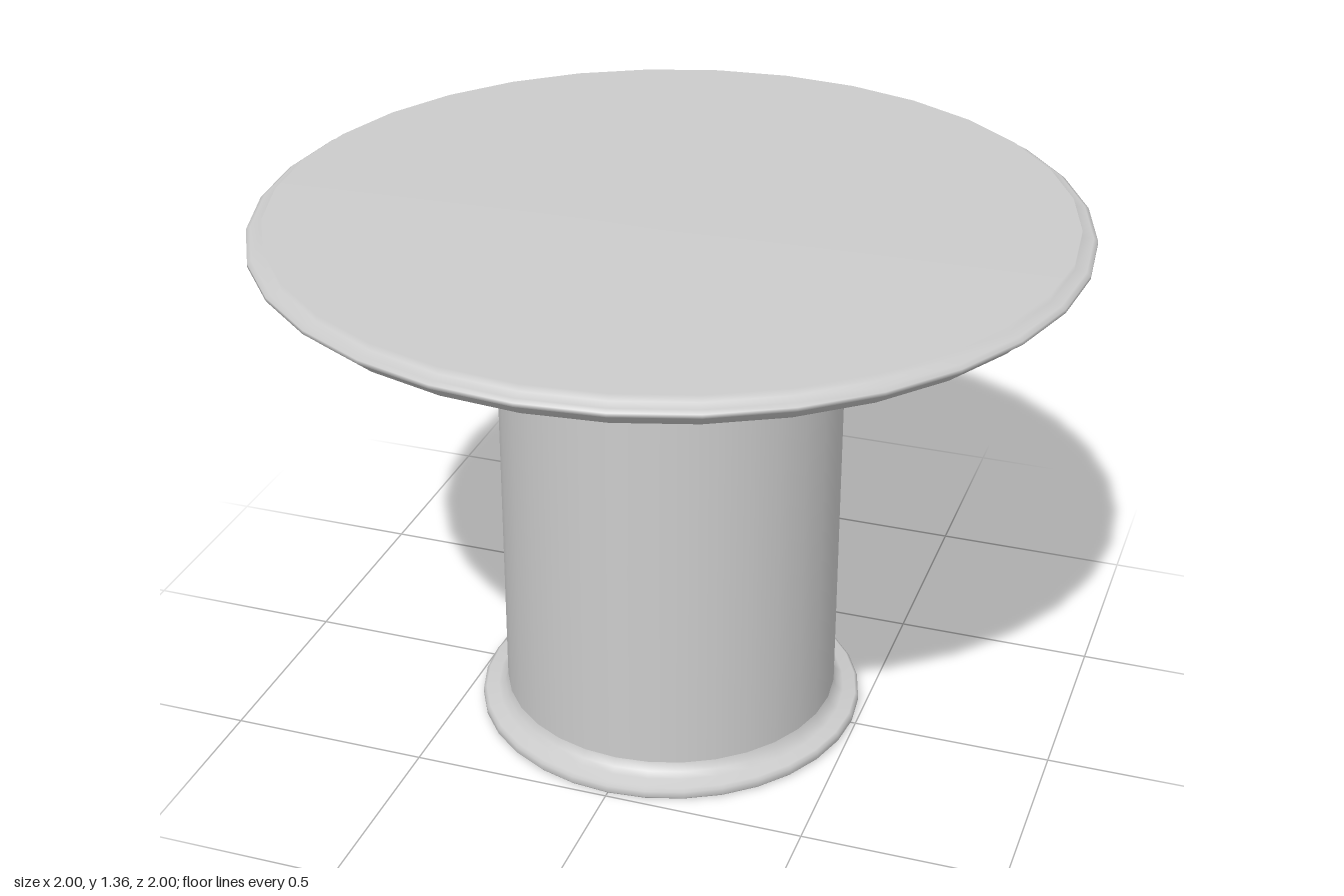
import * as THREE from 'three';

const SIDES = 32;
const material = new THREE.MeshStandardMaterial({ color: 0xcccccc });

// Turns a profile of [radius, height] points, listed bottom to top, around y.
function turned(name, profile) {
  const points = profile.map(([r, y]) => new THREE.Vector2(r, y));
  const mesh = new THREE.Mesh(new THREE.LatheGeometry(points, SIDES), material);
  mesh.name = name;
  return mesh;
}

export function createModel() {
  const group = new THREE.Group();
  group.name = 'pedestalTable';

  // Flat underside of the foot
  const underside = new THREE.Mesh(new THREE.CircleGeometry(0.485, SIDES), material);
  underside.rotation.x = Math.PI / 2;
  underside.position.y = 0.005;
  underside.name = 'footUnderside';
  group.add(underside);

  // Foot flange with rounded lip, blending into the column
  group.add(turned('foot', [
    [0.485, 0], [0.49, 0.006], [0.49, 0.022], [0.482, 0.028],
    [0.45, 0.033], [0.433, 0.043], [0.425, 0.065],
  ]));

  // Straight column
  group.add(turned('column', [[0.425, 0.065], [0.425, 1.04]]));

  // Flared collar under the top
  group.add(turned('collar', [
    [0.425, 1.04], [0.43, 1.07], [0.445, 1.093], [0.48, 1.108],
    [0.51, 1.137], [0.545, 1.175], [0.548, 1.184], [0.53, 1.198], [0.5, 1.2],
  ]));

  // Table top: shallow cone below, projecting edge bead, flat surface above
  group.add(turned('tableTop', [
    [0.5, 1.198], [0.525, 1.203], [0.56, 1.213], [0.962, 1.293],
    [0.962, 1.318], [0.99, 1.32], [1, 1.326], [1, 1.335], [0.99, 1.341],
    [0.962, 1.343], [0.962, 1.36], [0, 1.36],
  ]));

  return group;
}
